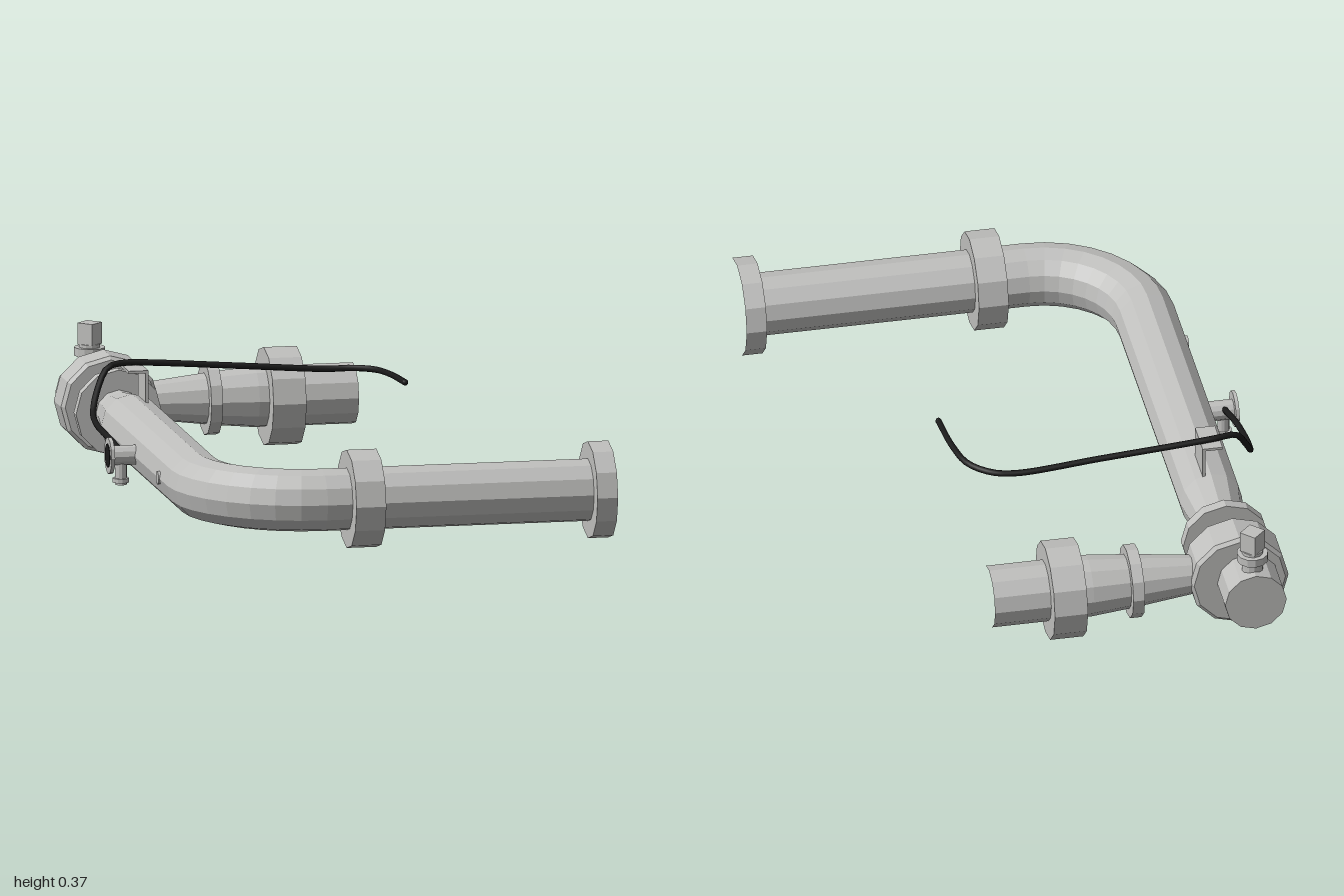
import * as THREE from 'three';

export function createModel() {
  const model = new THREE.Group();
  const steel = new THREE.MeshStandardMaterial({ color: 0xbfbfbd, flatShading: true });
  steel.name = 'grey steel';
  const rubber = new THREE.MeshStandardMaterial({ color: 0x1a1a1a });
  rubber.name = 'black rubber';

  const UP = new THREE.Vector3(0, 1, 0);
  const Y = 0.156, PX = -0.505, FZ = 0.845, BZ = -0.815; // pipe axes

  function add(name, geometry, material = steel) {
    const mesh = new THREE.Mesh(geometry, material);
    mesh.name = name;
    model.add(mesh);
    return mesh;
  }
  // Twelve-sided cylinder or cone between two points
  function pipe(name, a, b, r0, r1 = r0, open = false, material = steel) {
    const from = new THREE.Vector3(...a), to = new THREE.Vector3(...b);
    const dir = to.clone().sub(from);
    const mesh = add(name, new THREE.CylinderGeometry(r1, r0, dir.length(), 12, 1, open), material);
    mesh.position.copy(from).lerp(to, 0.5);
    mesh.quaternion.setFromUnitVectors(UP, dir.normalize());
    return mesh;
  }
  const main = (name, z0, z1, r0, r1, open) => pipe(name, [PX, Y, z1], [PX, Y, z0], r1 ?? r0, r0, open);
  const front = (name, x0, x1, r, open) => pipe(name, [x0, Y, FZ], [x1, Y, FZ], r, r, open);
  const branch = (name, x0, x1, r0, r1, open) => pipe(name, [x0, Y, BZ], [x1, Y, BZ], r0, r1, open);

  // Front arm with coupling and recessed open end flange
  front('frontPipe', -0.195, 0.62, 0.094);
  front('frontCoupling', -0.12, -0.03, 0.148);
  front('endFlangeRim', 0.61, 0.672, 0.146, true);
  front('endFlangePlate', 0.61, 0.618, 0.146);

  // Elbow
  const bend = new THREE.TorusGeometry(0.31, 0.094, 12, 8, Math.PI / 2);
  bend.rotateZ(Math.PI / 2).rotateX(Math.PI / 2);
  add('elbow', bend).position.set(-0.195, Y, 0.535);

  // Long pipe, reducer, thin flange and valve body
  main('longPipe', -0.44, 0.535, 0.094);
  main('reducer', -0.6, -0.44, 0.07, 0.094);
  main('neckPipe', -0.77, -0.6, 0.07);
  main('neckFlange', -0.67, -0.635, 0.13);
  main('valveBody', -0.87, -0.765, 0.149);
  main('valveBodyFrontBevel', -0.765, -0.755, 0.149, 0.138);
  main('valveBodyBackBevel', -0.88, -0.87, 0.138, 0.149);
  pipe('cappedStub', [-0.53, Y, -0.87], [-0.53, Y, -1], 0.093);

  // Vent fitting on the stub
  pipe('ventNeck', [-0.53, 0.22, -0.945], [-0.53, 0.31, -0.945], 0.032);
  pipe('ventCollar', [-0.53, 0.275, -0.945], [-0.53, 0.3, -0.945], 0.047);
  const cap = add('ventCap', new THREE.BoxGeometry(0.053, 0.065, 0.053));
  cap.position.set(-0.53, 0.341, -0.945);
  cap.rotation.y = Math.PI / 4;

  // Side branch with open end
  branch('branchCone', -0.4, -0.19, 0.055, 0.08);
  branch('branchThinFlange', -0.21, -0.175, 0.11);
  branch('branchTaper', -0.19, -0.06, 0.08, 0.092);
  branch('branchLink', -0.06, -0.02, 0.092);
  branch('branchCoupling', -0.03, 0.07, 0.148);
  branch('branchOutlet', 0.07, 0.24, 0.092, 0.092, true);

  // Hose outlet on the long pipe
  pipe('outletNeck', [-0.58, Y, 0.025], [-0.67, Y, 0.025], 0.03);
  pipe('outletFlange', [-0.663, Y, 0.025], [-0.674, Y, 0.025], 0.055);
  pipe('outletOpening', [-0.67, Y, 0.025], [-0.676, Y, 0.025], 0.036, 0.036, false, rubber);
  pipe('drainNeck', [-0.635, 0.068, 0.025], [-0.635, 0.14, 0.025], 0.018);
  pipe('drainCollar', [-0.635, 0.075, 0.025], [-0.635, 0.088, 0.025], 0.025);
  pipe('sidePlug', [-0.58, Y, 0.4], [-0.602, Y, 0.4], 0.02);

  // Angle bracket carrying the hose
  add('bracketWeb', new THREE.BoxGeometry(0.008, 0.105, 0.117)).position.set(-0.484, 0.288, -0.382);
  add('bracketTop', new THREE.BoxGeometry(0.06, 0.008, 0.117)).position.set(-0.51, 0.337, -0.382);

  // Bent hose
  const points = [
    [-0.635, 0.17, 0.005], [-0.65, 0.19, -0.1], [-0.658, 0.205, -0.22], [-0.652, 0.225, -0.3],
    [-0.63, 0.28, -0.35], [-0.59, 0.343, -0.385], [-0.53, 0.352, -0.405], [-0.45, 0.348, -0.41],
    [-0.18, 0.328, -0.41], [0.08, 0.309, -0.41], [0.15, 0.312, -0.395], [0.21, 0.315, -0.34],
    [0.238, 0.317, -0.24], [0.252, 0.318, -0.105],
  ].map(p => new THREE.Vector3(...p));
  const path = new THREE.CatmullRomCurve3(points, false, 'centripetal');
  add('hose', new THREE.TubeGeometry(path, 60, 0.0095, 8), rubber);
  for (const i of [0, points.length - 1]) {
    add('hoseEnd', new THREE.SphereGeometry(0.0095, 8, 6), rubber).position.copy(points[i]);
  }

  return model;
}
